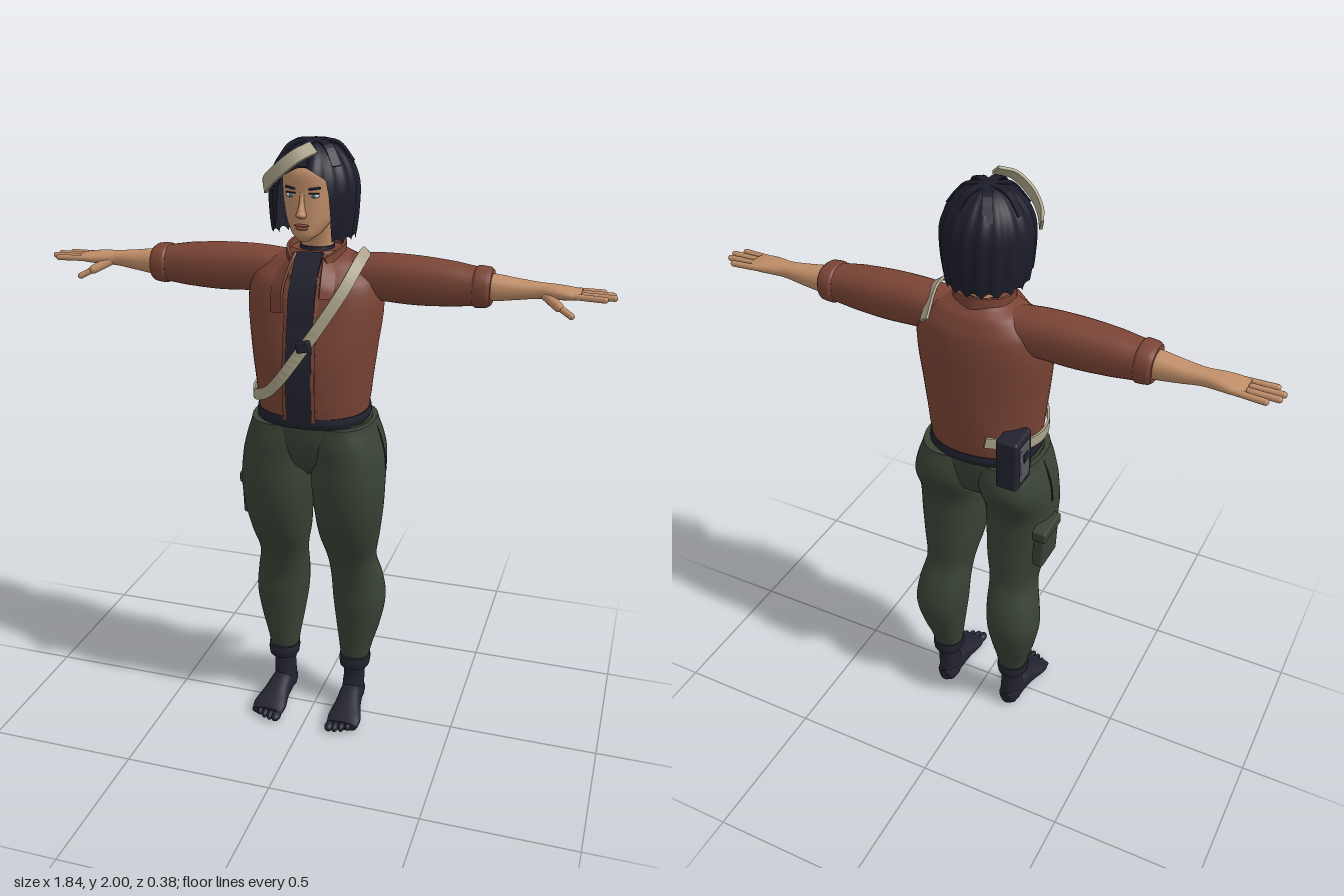
import * as THREE from 'three';
import { RoundedBoxGeometry } from 'three/addons/geometries/RoundedBoxGeometry.js';

const V = (x, y, z) => new THREE.Vector3(x, y, z);
const material = (name, color) => {
  const m = new THREE.MeshStandardMaterial({ color, side: THREE.DoubleSide });
  m.name = name;
  return m;
};

// Closed surface through equally sized rings of points, with end caps
function skin(rings, faceted) {
  const pos = [], idx = [], n = rings[0].length;
  rings.forEach(r => r.forEach(p => pos.push(p.x, p.y, p.z)));
  for (let i = 0; i < rings.length - 1; i++) for (let j = 0; j < n; j++) {
    const a = i * n + j, b = i * n + (j + 1) % n;
    idx.push(a, b, b + n, a, b + n, a + n);
  }
  [rings[0], rings[rings.length - 1]].forEach((r, end) => {
    const base = pos.length / 3, c = V(0, 0, 0);
    r.forEach(p => { pos.push(p.x, p.y, p.z); c.addScaledVector(p, 1 / n); });
    pos.push(c.x, c.y, c.z);
    for (let j = 0; j < n; j++) {
      const a = base + j, b = base + (j + 1) % n;
      end ? idx.push(base + n, a, b) : idx.push(base + n, b, a);
    }
  });
  let g = new THREE.BufferGeometry();
  g.setAttribute('position', new THREE.Float32BufferAttribute(pos, 3));
  g.setIndex(idx);
  if (faceted) g = g.toNonIndexed();
  g.computeVertexNormals();
  return g;
}

// Smoothly resample rows of [y, centreX, centreZ, radiusX, radiusZ]
function smooth(rows, k = 5) {
  const out = [], last = rows.length - 1;
  for (let i = 0; i < last; i++) for (let s = 0; s < k; s++) {
    const t = s / k, at = d => rows[Math.min(last, Math.max(0, i + d))];
    out.push(rows[i].map((p, c) => {
      if (c === 0) return p + (at(1)[0] - p) * t;
      const m0 = (at(1)[c] - at(-1)[c]) / 2, m1 = (at(2)[c] - p) / 2, q = at(1)[c];
      return p + m0 * t + (3 * (q - p) - 2 * m0 - m1) * t * t + (2 * (p - q) + m0 + m1) * t ** 3;
    }));
  }
  return [...out, rows[last]];
}

const EXP = 2.3;
const power = v => Math.sign(v) * Math.abs(v) ** (2 / EXP);
function loft(rows, side = 1, n = 32) {
  return skin(smooth(rows).map(([y, cx, cz, rx, rz]) => Array.from({ length: n }, (_, j) => {
    const a = j / n * Math.PI * 2;
    return V(cx * side + rx * power(Math.sin(a)), y, cz + rz * power(Math.cos(a)));
  })));
}

// Flat band along a curve, lying against the body; above y0 it tilts upward
function ribbon(points, width, thick, y0 = 9, steps = 40) {
  const curve = new THREE.CatmullRomCurve3(points.map(p => V(...p)));
  return skin(Array.from({ length: steps + 1 }, (_, i) => {
    const p = curve.getPoint(i / steps), t = curve.getTangent(i / steps);
    const nrm = V(p.x, Math.max(0, p.y - y0), p.z + 0.02);
    nrm.addScaledVector(t, -nrm.dot(t)).normalize();
    const b = t.clone().cross(nrm).multiplyScalar(width / 2);
    const top = p.clone().addScaledVector(nrm, thick);
    return [top.clone().add(b), p.clone().add(b), p.clone().sub(b), top.sub(b)];
  }), true);
}

const jacketRows = [
  [1.14, 0, -0.005, 0.176, 0.155], [1.2, 0, -0.005, 0.182, 0.162], [1.35, 0, -0.007, 0.2, 0.164],
  [1.5, 0, -0.02, 0.216, 0.15], [1.58, 0, -0.027, 0.2, 0.135], [1.635, 0, -0.04, 0.14, 0.1],
  [1.665, 0, -0.042, 0.08, 0.072]];
const jacketFine = smooth(jacketRows);
// Depth of the jacket's front at a given x and y
function frontZ(x, y) {
  const i = Math.max(1, jacketFine.findIndex(r => r[0] >= y)), a = jacketFine[i - 1], b = jacketFine[i];
  const t = (y - a[0]) / (b[0] - a[0]), [, , cz, rx, rz] = a.map((v, c) => v + (b[c] - v) * t);
  return cz + rz * Math.max(0, 1 - Math.abs(x / rx) ** EXP) ** (1 / EXP);
}
const onFront = (x, y, lift) => [x, y, frontZ(x, y) + lift];

// Bob of hair: strands fall from the crown to a hairline that opens at the face
function hairGeometry() {
  const N = 144, M = 18, pos = [], idx = [];
  for (let i = 0; i <= M; i++) for (let j = 0; j <= N; j++) {
    const v = i / M, a = (j / N) * Math.PI * 2 - Math.PI;
    const open = THREE.MathUtils.smoothstep(Math.abs(a), 0.55, 0.76);
    const low = (a > 0 ? 1.7 : 1.7 + 0.05 * Math.max(0, Math.cos(a))) + 0.018 * Math.abs(Math.sin(a * 9));
    const fringe = 1.91 + 0.02 * Math.cos(a * 4);
    const y = 2 - (2 - (fringe + (low - fringe) * open)) * (1 - Math.cos(v * Math.PI / 2));
    const d = (y - 1.85) / 0.15;
    const r = (d > 0 ? Math.sqrt(Math.max(0, 1 - d * d)) : 1 - 0.1 * d * d)
      * (1 + 0.022 * Math.sin(a * 18 + 3 * v));
    pos.push(0.137 * Math.sin(a) * r, y, -0.002 + 0.147 * Math.cos(a) * r);
    if (i < M && j < N) {
      const p = i * (N + 1) + j, q = p + N + 1;
      idx.push(p, q, q + 1, p, q + 1, p + 1);
    }
  }
  const g = new THREE.BufferGeometry();
  g.setAttribute('position', new THREE.Float32BufferAttribute(pos, 3));
  g.setIndex(idx);
  g.computeVertexNormals();
  return g;
}

export function createModel() {
  const model = new THREE.Group();
  const skinTone = material('skin', 0xc08e68), rust = material('rust jacket', 0x7a4435);
  const navy = material('navy cloth', 0x22232f), green = material('green trousers', 0x394335);
  const hairMat = material('hair', 0x1c1d2a), cream = material('cream strap', 0xaaa289);
  const grey = material('grey panel', 0x55575a), lip = material('lips', 0x86483c);
  const white = material('eye white', 0xd8d4cc), blue = material('iris', 0x3f6a8c);

  const add = (name, geo, mat, x = 0, y = 0, z = 0) => {
    const m = new THREE.Mesh(geo, mat);
    m.name = name;
    m.position.set(x, y, z);
    model.add(m);
    return m;
  };
  const ball = (name, mat, x, y, z, rx, ry, rz) =>
    add(name, new THREE.SphereGeometry(1, 20, 14), mat, x, y, z).scale.set(rx, ry, rz);
  const capsule = (name, mat, a, b, r) => {
    const d = b.clone().sub(a), mid = a.clone().add(b).multiplyScalar(0.5);
    add(name, new THREE.CapsuleGeometry(r, d.length(), 5, 10), mat, mid.x, mid.y, mid.z)
      .quaternion.setFromUnitVectors(V(0, 1, 0), d.normalize());
  };

  // Torso
  add('jacket', loft(jacketRows, 1, 48), rust);
  add('hem', loft([[1.122, 0, -0.005, 0.178, 0.153], [1.14, 0, -0.005, 0.184, 0.16], [1.16, 0, -0.005, 0.182, 0.159]], 1, 48), navy);
  add('shirt', ribbon([1.13, 1.25, 1.35, 1.45, 1.55, 1.61, 1.64, 1.66].map(y => onFront(-0.003, Math.max(y, 1.145), 0.001)), 0.085, 0.005), navy);
  add('shirtCollar', loft([[1.6, 0, -0.03, 0.06, 0.07], [1.64, 0, -0.03, 0.056, 0.062], [1.675, 0, -0.033, 0.053, 0.053]]), navy);
  add('jacketCollar', ribbon([[-0.055, 1.63, 0.065], [-0.08, 1.65, 0], [-0.07, 1.662, -0.075], [0, 1.668, -0.112],
    [0.07, 1.662, -0.075], [0.08, 1.65, 0], [0.055, 1.63, 0.065]], 0.05, 0.009), rust);
  add('rightLapel', ribbon([1.65, 1.61, 1.56, 1.49].map((y, i) => onFront(-[0.055, 0.07, 0.08, 0.078][i], y, 0.004)), 0.05, 0.009), rust);
  add('leftLapel', ribbon([1.65, 1.61, 1.57, 1.54].map((y, i) => onFront([0.055, 0.066, 0.072, 0.072][i], y, 0.004)), 0.045, 0.009), rust);
  for (const x of [-0.048, 0.042])
    add('jacketEdge', ribbon([1.15, 1.3, 1.45, 1.6].map(y => onFront(x, y, 0)), 0.012, 0.008), rust);

  // Shoulder strap, buckle and pouch
  add('strap', ribbon([[0.14, 1.59, -0.14], [0.155, 1.655, -0.04], [0.152, 1.638, 0.045], [0.122, 1.565, 0.118],
    [0.02, 1.4, 0.17], [-0.09, 1.25, 0.163], [-0.165, 1.205, 0.09], [-0.192, 1.2, 0], [-0.165, 1.21, -0.1],
    [-0.07, 1.23, -0.166]], 0.036, 0.008, 1.45, 70), cream);
  add('buckle', new RoundedBoxGeometry(0.045, 0.035, 0.02, 2, 0.005), navy, 0.02, 1.405, 0.18).rotation.z = 0.2;
  add('pouch', new RoundedBoxGeometry(0.075, 0.18, 0.11, 3, 0.012), navy, -0.155, 1.18, -0.138);
  add('pouchPanel', new RoundedBoxGeometry(0.008, 0.13, 0.065, 2, 0.003), grey, -0.193, 1.18, -0.14);
  add('pouchButton', new THREE.BoxGeometry(0.008, 0.03, 0.03), navy, -0.196, 1.2, -0.14);

  // Hips
  add('hips', loft([[0.93, 0, 0.0, 0.03, 0.06], [0.98, 0, -0.005, 0.1, 0.115], [1.05, 0, -0.008, 0.185, 0.14],
    [1.126, 0, -0.008, 0.188, 0.146]]), green);

  for (const s of [1, -1]) {
    const side = s > 0 ? 'left' : 'right';
    // Leg, cuff and foot
    add(side + 'TrouserLeg', loft([
      [0.17, 0.13, -0.065, 0.046, 0.046], [0.22, 0.132, -0.066, 0.054, 0.052], [0.32, 0.138, -0.077, 0.075, 0.073],
      [0.42, 0.14, -0.083, 0.09, 0.091], [0.51, 0.133, -0.074, 0.088, 0.088], [0.6, 0.122, -0.044, 0.082, 0.083],
      [0.7, 0.12, -0.015, 0.1, 0.105], [0.8, 0.122, 0.005, 0.112, 0.12], [0.9, 0.121, 0.012, 0.119, 0.128],
      [1.0, 0.117, -0.012, 0.118, 0.153], [1.06, 0.106, -0.014, 0.114, 0.155], [1.12, 0.094, -0.01, 0.108, 0.143]], s, 40), green);
    add(side + 'Cuff', loft([[0.16, 0.132, -0.062, 0.051, 0.055], [0.18, 0.132, -0.062, 0.054, 0.058], [0.202, 0.132, -0.063, 0.053, 0.056]], s), navy);
    add(side + 'Ankle', loft([[0.02, 0.128, -0.068, 0.036, 0.04], [0.07, 0.128, -0.062, 0.037, 0.047],
      [0.12, 0.13, -0.065, 0.036, 0.042], [0.18, 0.13, -0.065, 0.04, 0.043]], s), navy);
    add(side + 'Foot', loft([[-0.112, 0.128, -0.034, 0.018, 0.022], [-0.095, 0.128, -0.037, 0.035, 0.036],
      [-0.03, 0.13, -0.045, 0.04, 0.045], [0.03, 0.134, -0.036, 0.046, 0.036], [0.09, 0.138, -0.024, 0.058, 0.023],
      [0.13, 0.138, -0.017, 0.054, 0.016]], s).rotateX(Math.PI / 2), navy);
    for (let i = 0; i < 5; i++)
      ball(side + 'Toe', navy, s * (0.098 + i * 0.021), 0.016, 0.143 - i * i * 0.0025, i ? 0.0115 : 0.016, 0.015, 0.024);
    add(side + 'PocketSeam', ribbon([[s * 0.2, 1.11, -0.015], [s * 0.219, 1.06, -0.015], [s * 0.234, 1, -0.015],
      [s * 0.239, 0.95, -0.015]], 0.007, 0.003), navy);

    // Sleeve, arm and hand
    const along = (name, rows, mat) => add(name, loft(rows, s).rotateZ(-s * Math.PI / 2), mat, 0, 1.58, 0);
    along(side + 'Sleeve', [[0.09, -0.002, -0.04, 0.066, 0.07], [0.2, -0.004, -0.038, 0.073, 0.072],
      [0.32, -0.001, -0.036, 0.075, 0.072], [0.43, 0.001, -0.035, 0.068, 0.067], [0.51, 0.003, -0.035, 0.058, 0.06]], rust);
    along(side + 'SleeveCuff', [[0.497, 0.003, -0.035, 0.058, 0.062], [0.505, 0.003, -0.035, 0.063, 0.067],
      [0.54, 0.003, -0.035, 0.06, 0.065], [0.55, 0.003, -0.035, 0.053, 0.057]], rust);
    along(side + 'Forearm', [[0.48, 0.003, -0.037, 0.045, 0.046], [0.56, 0.003, -0.038, 0.04, 0.044],
      [0.63, 0.003, -0.04, 0.031, 0.037], [0.69, 0.002, -0.04, 0.024, 0.031], [0.74, 0.002, -0.038, 0.021, 0.04],
      [0.78, 0.003, -0.038, 0.017, 0.046], [0.815, 0.004, -0.038, 0.012, 0.043]], skinTone);
    [0.885, 0.91, 0.905, 0.875].forEach((x, i) => {
      const z = -0.003 - i * 0.024;
      capsule(side + 'Finger', skinTone, V(s * 0.79, 1.577, z), V(s * x, 1.575, z + 0.006 - i * 0.004), 0.0098);
    });
    capsule(side + 'ThumbBase', skinTone, V(s * 0.71, 1.57, -0.02), V(s * 0.755, 1.547, 0.015), 0.015);
    capsule(side + 'Thumb', skinTone, V(s * 0.755, 1.547, 0.015), V(s * 0.795, 1.526, 0.03), 0.01);

    // Eye and brow
    ball(side + 'EyeWhite', white, s * 0.036, 1.85, 0.118, 0.016, 0.007, 0.006);
    ball(side + 'Iris', blue, s * 0.035, 1.85, 0.122, 0.006, 0.0062, 0.004);
    const brow = add(side + 'Brow', new THREE.CapsuleGeometry(0.0035, 0.03, 3, 8), hairMat, s * 0.038, 1.871, 0.12);
    brow.rotation.set(0, s * 0.35, Math.PI / 2 + s * 0.12);
    add(side + 'Lash', new THREE.BoxGeometry(0.032, 0.003, 0.006), hairMat, s * 0.036, 1.857, 0.121).rotation.y = s * 0.3;
  }

  // Thigh pocket
  add('thighPocket', new RoundedBoxGeometry(0.04, 0.145, 0.12, 2, 0.01), green, -0.234, 0.805, -0.05).rotation.z = 0.04;
  add('thighPocketFlap', new RoundedBoxGeometry(0.05, 0.04, 0.13, 2, 0.008), green, -0.237, 0.865, -0.05);

  // Neck and head
  add('neck', loft([[1.62, 0, -0.035, 0.05, 0.045], [1.69, 0, -0.033, 0.05, 0.048], [1.78, 0, -0.02, 0.055, 0.055]]), skinTone);
  add('face', loft([[1.712, 0, 0.092, 0.018, 0.024], [1.73, 0, 0.07, 0.042, 0.058], [1.765, 0, 0.035, 0.066, 0.094],
    [1.81, 0, 0.016, 0.08, 0.112], [1.86, 0, 0.01, 0.087, 0.115], [1.92, 0, 0.005, 0.084, 0.116], [1.965, 0, 0, 0.05, 0.07]]), skinTone);
  add('nose', loft([[1.783, 0, 0.122, 0.01, 0.012], [1.792, 0, 0.13, 0.016, 0.022], [1.804, 0, 0.127, 0.012, 0.022],
    [1.83, 0, 0.122, 0.008, 0.015], [1.86, 0, 0.117, 0.008, 0.009]], 1, 16), skinTone);
  ball('upperLip', lip, 0, 1.762, 0.128, 0.023, 0.0045, 0.007);
  ball('lowerLip', lip, 0, 1.753, 0.127, 0.019, 0.0055, 0.008);

  // Hair and headband
  add('hair', hairGeometry(), hairMat);
  for (let i = 0; i < 7; i++) {
    const a = i * 0.9, x = Math.sin(a), z = Math.cos(a);
    add('crownLock', ribbon([[x * 0.015, 1.992, z * 0.015], [x * 0.07, 1.984, z * 0.075], [x * 0.115, 1.93, z * 0.12]], 0.03, 0.005, 1.85, 10), hairMat);
  }
  add('headband', ribbon([[-0.128, 1.862, 0.075], [-0.105, 1.886, 0.115], [-0.065, 1.92, 0.145], [-0.012, 1.962, 0.143],
    [0.03, 1.984, 0.105]], 0.042, 0.009, 1.88), cream);
  return model;
}
